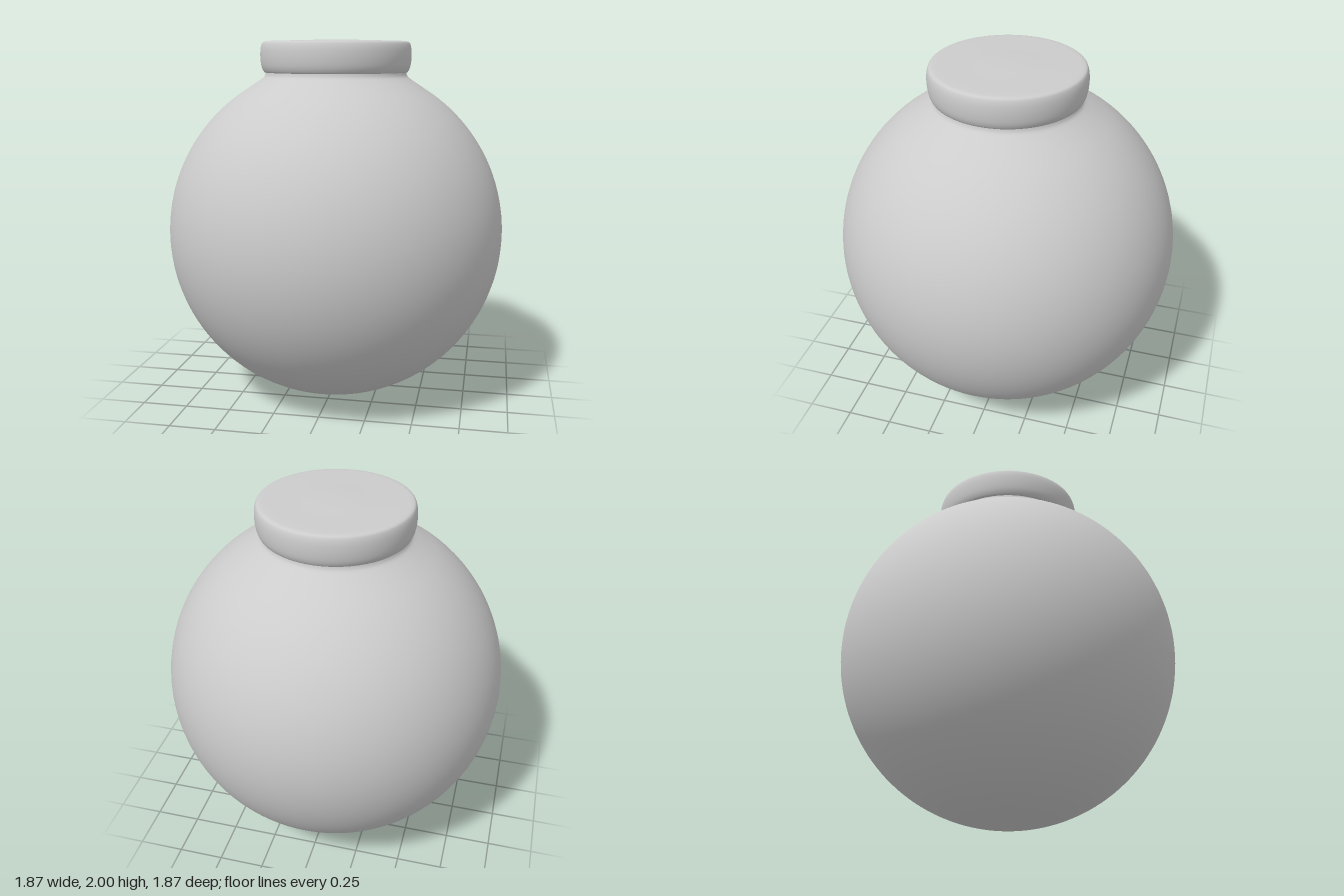
import * as THREE from 'three';

const SEGMENTS = 96;
const RADIUS = 0.935;
const CENTRE_Y = 0.938;

function lathe(name, points, material) {
  const mesh = new THREE.Mesh(new THREE.LatheGeometry(points, SEGMENTS), material);
  mesh.name = name;
  return mesh;
}

// Smooth curve through [radius, height] pairs
function smooth(pairs, steps) {
  const curve = new THREE.SplineCurve(pairs.map(([r, y]) => new THREE.Vector2(r, y)));
  return curve.getPoints(steps);
}

export function createModel() {
  const group = new THREE.Group();
  group.name = 'roundJar';
  const material = new THREE.MeshStandardMaterial({ color: 0xcccccc, side: THREE.DoubleSide });

  // Spherical body, from the bottom pole up to the shoulder
  const body = [];
  const rings = 64;
  const shoulder = Math.PI - Math.asin(0.5 / RADIUS);
  for (let i = 0; i <= rings; i++) {
    const a = (shoulder * i) / rings;
    body.push(new THREE.Vector2(RADIUS * Math.sin(a), CENTRE_Y - RADIUS * Math.cos(a)));
  }
  // Short concave neck flowing out of the shoulder
  body.push(...smooth([[0.46, 1.755], [0.415, 1.785], [0.393, 1.805], [0.386, 1.835]], 10));
  group.add(lathe('body', body, material));

  // Bulging lid with a rounded rim and a barely domed top
  const side = smooth([
    [0.386, 1.822], [0.397, 1.826], [0.41, 1.855], [0.416, 1.9],
    [0.415, 1.945], [0.408, 1.975], [0.398, 1.987], [0.38, 1.991],
  ], 28);
  const lid = [
    new THREE.Vector2(0, 1.822),
    ...side,
    ...smooth([[0.36, 1.992], [0.2, 1.995], [0.1, 1.999], [0, 2]], 12),
  ];
  group.add(lathe('lid', lid, material));

  return group;
}
